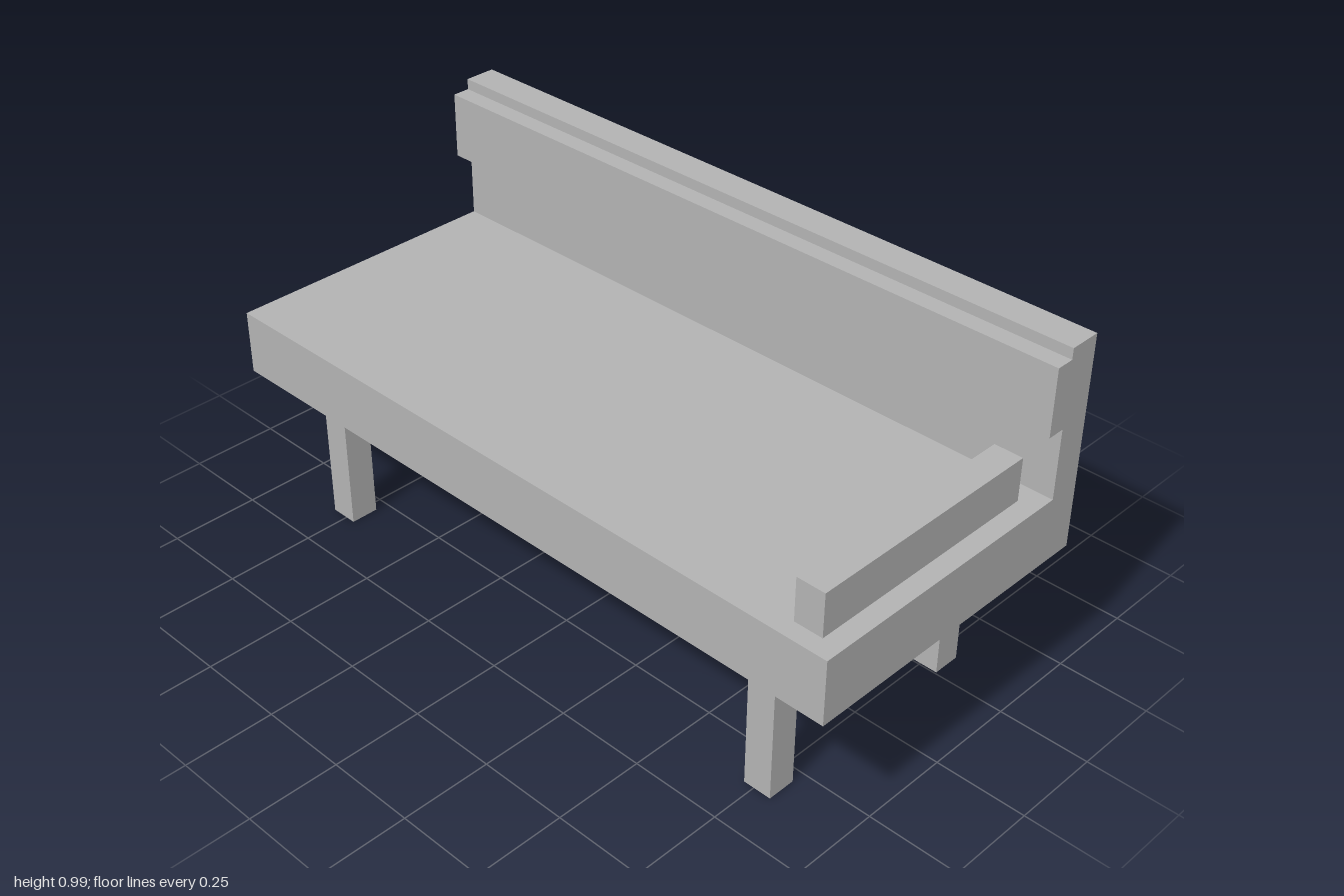
import * as THREE from 'three';

export function createModel() {
  const group = new THREE.Group();
  const grey = new THREE.MeshStandardMaterial({ color: 0xb2b2b2 });
  grey.name = 'grey';

  // Box given by its lower and upper limits on each axis
  const block = (name, [x0, x1], [y0, y1], [z0, z1]) => {
    const mesh = new THREE.Mesh(new THREE.BoxGeometry(x1 - x0, y1 - y0, z1 - z0), grey);
    mesh.position.set((x0 + x1) / 2, (y0 + y1) / 2, (z0 + z1) / 2);
    mesh.name = name;
    group.add(mesh);
  };

  // Seat and backrest as one L-shaped section run along the width
  const section = new THREE.Shape([
    [0.445, 0.4], [0.445, 0.58], [-0.355, 0.58], [-0.355, 0.775], [-0.305, 0.775],
    [-0.305, 0.96], [-0.355, 0.96], [-0.355, 0.99], [-0.445, 0.99], [-0.445, 0.4],
  ].map(([z, y]) => new THREE.Vector2(-z, y)));
  const body = new THREE.Mesh(
    new THREE.ExtrudeGeometry(section, { depth: 2, bevelEnabled: false }), grey);
  body.geometry.translate(0, 0, -1).rotateY(Math.PI / 2);
  body.name = 'seatAndBackrest';
  group.add(body);

  // Single armrest on the left end
  block('armrest', [0.865, 0.945], [0.58, 0.7], [-0.295, 0.395]);

  // Four square legs
  for (const [side, x] of [['Left', 0.76], ['Right', -0.76]]) {
    for (const [end, z] of [['front', 0.327], ['back', -0.295]]) {
      block(`${end}${side}Leg`, [x - 0.04, x + 0.04], [0, 0.4], [z - 0.04, z + 0.04]);
    }
  }
  return group;
}
